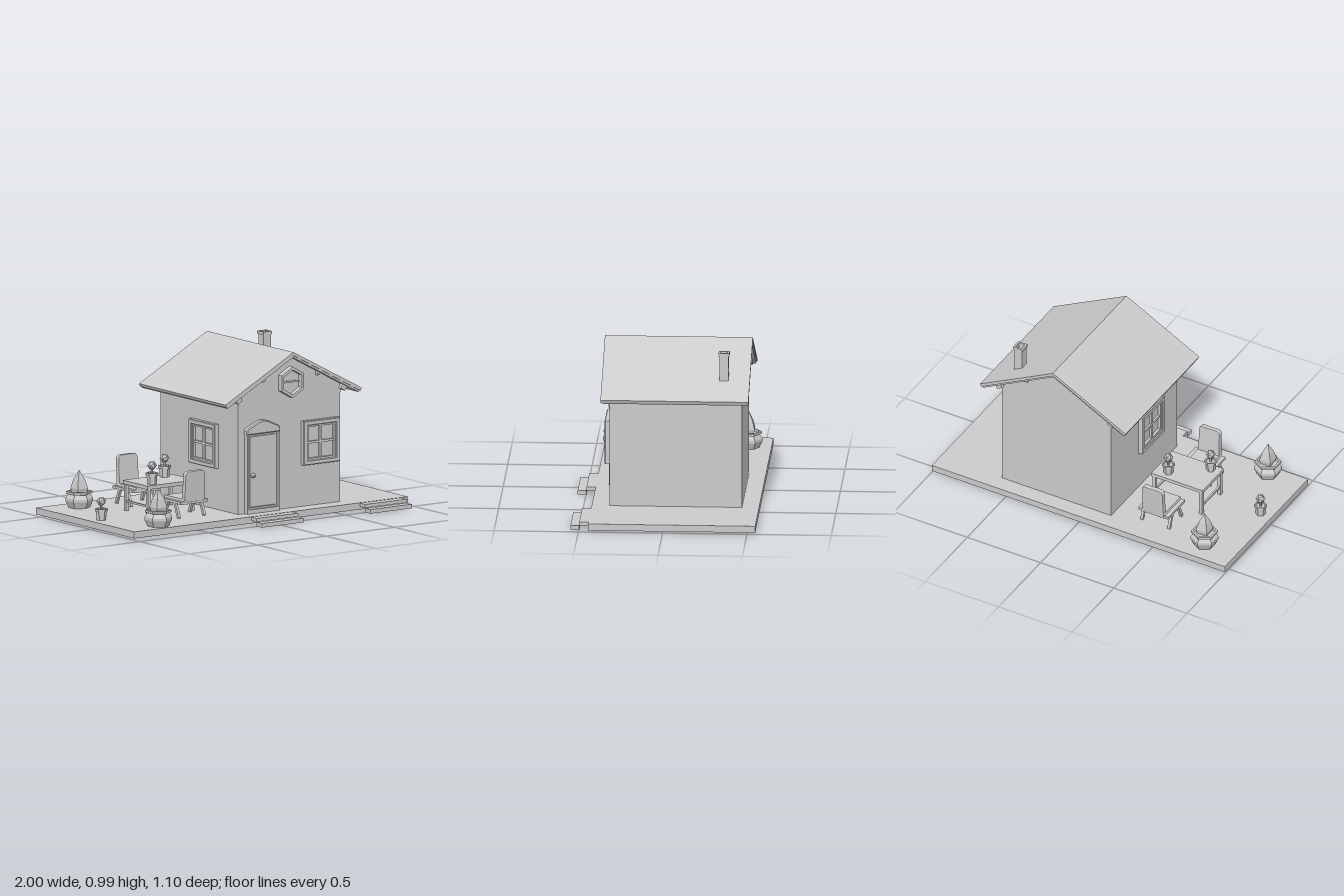
import * as THREE from 'three';

const grey = new THREE.MeshStandardMaterial({ color: 0xcccccc, flatShading: true, side: THREE.DoubleSide });

function add(parent, name, geometry, x = 0, y = 0, z = 0) {
  const mesh = new THREE.Mesh(geometry, grey);
  mesh.name = name;
  mesh.position.set(x, y, z);
  parent.add(mesh);
  return mesh;
}

// Box given by its limits on each axis
function box(parent, name, x0, x1, y0, y1, z0, z1) {
  return add(parent, name, new THREE.BoxGeometry(x1 - x0, y1 - y0, z1 - z0),
    (x0 + x1) / 2, (y0 + y1) / 2, (z0 + z1) / 2);
}

function group(parent, name, x = 0, y = 0, z = 0) {
  const g = new THREE.Group();
  g.name = name;
  g.position.set(x, y, z);
  parent.add(g);
  return g;
}

const polygon = (pts) => new THREE.Shape(pts.map(([x, y]) => new THREE.Vector2(x, y)));

function extrude(pts, depth, hole, bevel = 0) {
  const shape = polygon(pts);
  if (hole) shape.holes.push(polygon(hole));
  return new THREE.ExtrudeGeometry(shape, {
    depth: depth - bevel, bevelEnabled: bevel > 0, bevelSize: bevel, bevelOffset: -bevel,
    bevelThickness: bevel, bevelSegments: 1, curveSegments: 6,
  });
}

const rect = (w, h) => [[-w / 2, -h / 2], [w / 2, -h / 2], [w / 2, h / 2], [-w / 2, h / 2]];
const hexagon = (r) => Array.from({ length: 6 }, (_, i) => {
  const a = Math.PI / 6 + i * Math.PI / 3;
  return [r * Math.cos(a), r * Math.sin(a)];
});

// Faceted turned form; the corner of the polygon points along z
function lathe(pts, sides) {
  return new THREE.LatheGeometry(pts.map(([x, y]) => new THREE.Vector2(x, y)), sides);
}

// Four-pane window facing +z
function squareWindow(parent, name) {
  const w = group(parent, name);
  add(w, 'windowFrame', extrude(rect(0.265, 0.265), 0.03, rect(0.21, 0.21), 0.004));
  box(w, 'pane', -0.107, 0.107, -0.107, 0.107, 0, 0.004);
  box(w, 'uprightBar', -0.007, 0.007, -0.107, 0.107, 0, 0.016);
  box(w, 'crossBar', -0.107, 0.107, -0.007, 0.007, 0, 0.016);
  for (const s of [-1, 1]) {
    box(w, 'sashSide', s * 0.1 - 0.006, s * 0.1 + 0.006, -0.106, 0.106, 0, 0.02);
    box(w, 'sashRail', -0.106, 0.106, s * 0.1 - 0.006, s * 0.1 + 0.006, 0, 0.02);
  }
  return w;
}

// Chair with its back towards +z, origin on the floor
function chair(parent, name) {
  const c = group(parent, name);
  box(c, 'seat', -0.102, 0.102, 0.088, 0.104, -0.1, 0.1);
  add(c, 'seatCushion', extrude([[-0.085, 0.085], [0.085, 0.085], [0.072, 0.116], [-0.072, 0.116]], 0.2), 0, 0, -0.1);
  const back = new THREE.Shape();
  back.moveTo(-0.073, 0);
  back.lineTo(0.073, 0);
  back.lineTo(0.07, 0.165);
  back.quadraticCurveTo(0.066, 0.187, 0.045, 0.187);
  back.lineTo(-0.045, 0.187);
  back.quadraticCurveTo(-0.066, 0.187, -0.07, 0.165);
  const rest = add(c, 'backrest', new THREE.ExtrudeGeometry(back, {
    depth: 0.02, bevelSize: 0.006, bevelOffset: -0.006, bevelThickness: 0.006, bevelSegments: 2,
  }), 0, 0.098, 0.078);
  rest.rotation.x = 0.06;
  for (const x of [-0.092, 0.092]) {
    for (const s of [-1, 1]) {
      const leg = add(c, 'chairLeg', new THREE.BoxGeometry(0.016, 0.1, 0.018), x, 0.047, s * 0.055);
      leg.rotation.x = -s * 0.4;
    }
  }
  return c;
}

// Small pot with a round bush
function smallPlant(parent, x, y, z) {
  const p = group(parent, 'smallPlant', x, y, z);
  add(p, 'smallPot', lathe([[0, 0], [0.028, 0], [0.032, 0.052], [0.039, 0.052], [0.039, 0.068],
    [0.031, 0.068], [0.029, 0.058], [0, 0.058]], 6));
  add(p, 'stem', new THREE.CylinderGeometry(0.006, 0.008, 0.05, 6), 0, 0.08, 0);
  add(p, 'bush', new THREE.IcosahedronGeometry(0.029, 0), 0, 0.112, 0);
}

// Large bulging pot with a pointed shrub
function largePlant(parent, x, y, z) {
  const p = group(parent, 'largePlant', x, y, z);
  add(p, 'largePot', lathe([[0, 0], [0.064, 0], [0.083, 0.04], [0.083, 0.056], [0.066, 0.08], [0.079, 0.084],
    [0.079, 0.097], [0.066, 0.099], [0.06, 0.088], [0, 0.088]], 6));
  const shrub = add(p, 'shrub', lathe([[0, 0.085], [0.045, 0.085], [0.053, 0.115], [0.036, 0.165], [0, 0.225]], 4));
  shrub.rotation.y = Math.PI / 4;
}

export function createModel() {
  const model = new THREE.Group();
  model.name = 'gardenHouse';

  // Ground slab and two flights of steps
  box(model, 'groundSlab', -1, 1, 0.01, 0.05, -0.549, 0.443);
  for (const [a, b] of [[-0.144, 0.161], [0.648, 0.952]]) {
    box(model, 'upperStep', a, b, 0.027, 0.048, 0.443, 0.497);
    box(model, 'lowerStep', a, b, 0, 0.025, 0.497, 0.549);
  }

  // Walls and the slightly raised front gable
  const ridgeX = 0.207, wall = 0.373, slope = 0.533;
  const roofY = (dx) => 0.994 - slope * Math.abs(dx);
  const house = group(model, 'house');
  const eave = roofY(wall) - 0.015;
  add(house, 'walls', extrude([[-wall, 0.05], [wall, 0.05], [wall, eave], [0, 0.979], [-wall, eave]], 0.786),
    ridgeX, 0, -0.448);
  add(house, 'gable', extrude([[-wall, 0.705], [wall, 0.705], [wall, eave], [0, 0.979], [-wall, eave]], 0.006),
    ridgeX, 0, 0.336);

  // Roof chevron with a thinner board under its edges
  const span = 0.497;
  const chevron = (half, top, thick) => [[-half, roofY(half) - top], [0, roofY(0) - top], [half, roofY(half) - top],
    [half - 0.008, roofY(half) - top - thick], [0, roofY(0) - top - thick * 1.1], [-half + 0.008, roofY(half) - top - thick]];
  add(house, 'roof', extrude(chevron(span, 0, 0.018), 0.877), ridgeX, 0, -0.492);
  add(house, 'roofBoard', extrude(chevron(span - 0.01, 0.015, 0.016), 0.863), ridgeX, 0, -0.485);

  // Beam ends under the eaves and along the gables
  for (const s of [-1, 1]) {
    const x = ridgeX + s * (wall + 0.01);
    const beam = box(house, 'eaveBeam', x - 0.019, x + 0.019, 0.725, 0.757, -0.47, 0.365);
    beam.rotation.z = -s * 0.49;
    const px = ridgeX + s * 0.2;
    box(house, 'purlin', px - 0.01, px + 0.01, 0.832, 0.868, -0.46, 0.362);
  }

  // Chimney with a hollow top
  const chimney = group(house, 'chimney', 0.517, 0, -0.339);
  for (const [name, size, y0, y1] of [['chimneyShaft', 0.053, 0.79, 0.966], ['chimneyCap', 0.064, 0.966, 0.984]]) {
    const part = add(chimney, name, extrude(rect(size, size), y1 - y0, rect(0.04, 0.04)), 0, y0, 0);
    part.rotation.x = -Math.PI / 2;
  }

  // Six-sided gable window
  const hex = group(house, 'gableWindow', ridgeX, 0.812, 0.338);
  add(hex, 'hexFrame', extrude(hexagon(0.094), 0.04, hexagon(0.075)));
  add(hex, 'hexPane', extrude(hexagon(0.076), 0.008));
  box(hex, 'hexBar', -0.066, 0.066, -0.005, 0.005, 0.004, 0.016);

  // Square windows on the front and left-hand side of the plan
  squareWindow(house, 'frontWindow').position.set(0.428, 0.432, 0.338);
  const side = squareWindow(house, 'sideWindow');
  side.position.set(-0.166, 0.432, 0.01);
  side.rotation.y = -Math.PI / 2;

  // Door, frame, pointed pediment and knob
  const door = group(house, 'door', 0, 0, 0.338);
  add(door, 'doorFrame', extrude([[-0.118, 0.05], [0.118, 0.05], [0.118, 0.535], [-0.118, 0.535]], 0.028,
    [[-0.107, 0.075], [0.107, 0.075], [0.107, 0.525], [-0.107, 0.525]]));
  box(door, 'doorLeaf', -0.108, 0.108, 0.07, 0.53, 0, 0.012);
  add(door, 'doorPanel', extrude([[-0.095, 0.085], [0.095, 0.085], [0.095, 0.515], [-0.095, 0.515]], 0.018, null, 0.004));
  add(door, 'pediment', extrude([[-0.123, 0.525], [0.123, 0.525], [0.123, 0.55], [0.11, 0.565], [0.03, 0.6],
    [0, 0.606], [-0.03, 0.6], [-0.11, 0.565], [-0.123, 0.55]], 0.032, null, 0.006));
  add(door, 'doorKnob', new THREE.SphereGeometry(0.015, 10, 8), -0.08, 0.28, 0.033);
  const shank = add(door, 'knobShank', new THREE.CylinderGeometry(0.007, 0.007, 0.024, 8), -0.08, 0.28, 0.018);
  shank.rotation.x = Math.PI / 2;

  // Garden table
  const table = group(model, 'table', -0.459, 0.05, -0.052);
  box(table, 'tableTop', -0.176, 0.176, 0.16, 0.182, -0.125, 0.125);
  for (const x of [-0.16, 0.16]) {
    for (const z of [-0.11, 0.11]) box(table, 'tableLeg', x - 0.01, x + 0.01, 0, 0.16, z - 0.01, z + 0.01);
    box(table, 'sideStretcher', x - 0.006, x + 0.006, 0.05, 0.062, -0.11, 0.11);
  }

  // Chairs on both sides of the table
  chair(model, 'frontChair').position.set(-0.435, 0.05, 0.168);
  const rear = chair(model, 'rearChair');
  rear.position.set(-0.435, 0.05, -0.316);
  rear.rotation.y = Math.PI;

  // Potted plants
  smallPlant(model, -0.925, 0.05, 0.007);
  smallPlant(model, -0.37, 0.232, -0.122);
  smallPlant(model, -0.572, 0.232, 0.03);
  largePlant(model, -0.783, 0.05, -0.413);
  largePlant(model, -0.769, 0.05, 0.367);
  return model;
}
